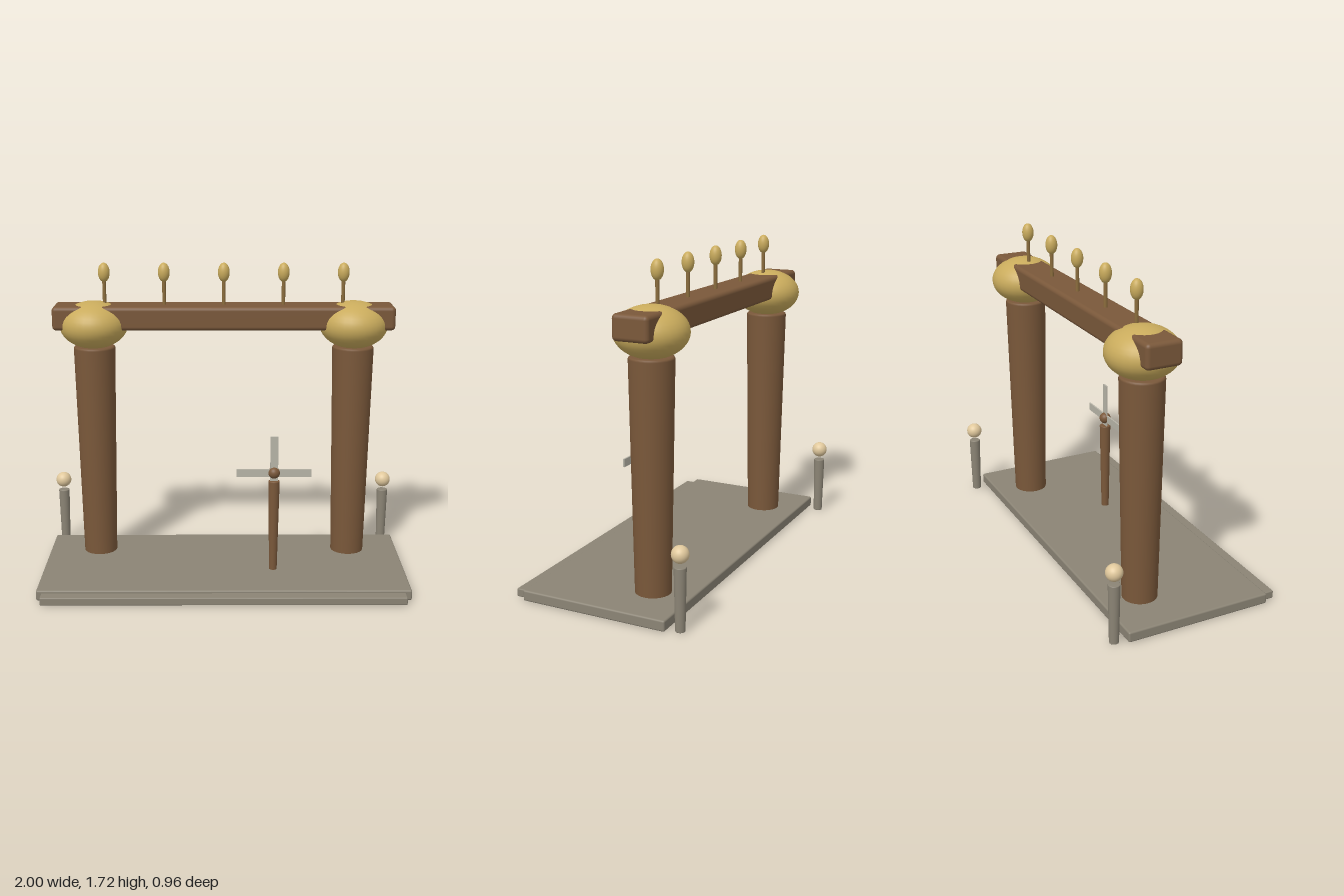
import * as THREE from 'three';
import { RoundedBoxGeometry } from 'three/addons/geometries/RoundedBoxGeometry.js';

const mat = (color) => new THREE.MeshStandardMaterial({ color });

export function createModel() {
  const model = new THREE.Group();
  const wood = mat(0x7a583a), stone = mat(0x8b8475), gold = mat(0xc9ab5c);
  const cream = mat(0xe0c89c), blade = mat(0xb8b5a8), bronze = mat(0x8a6c3c);

  const add = (name, geometry, material, x, y, z, parent = model) => {
    const mesh = new THREE.Mesh(geometry, material);
    mesh.name = name;
    mesh.position.set(x, y, z);
    parent.add(mesh);
    return mesh;
  };
  const box = (w, h, d, r) => new RoundedBoxGeometry(w, h, d, 3, r);
  const ball = (rx, ry) => new THREE.SphereGeometry(1, 32, 20).scale(rx, ry, rx);
  // Tapered round post standing on its origin, with softened rims
  const post = (rBottom, rTop, h, b) => new THREE.LatheGeometry([
    [0, 0], [rBottom - b, 0], [rBottom - b * 0.3, b * 0.3], [rBottom, b],
    [rTop, h - b], [rTop - b * 0.3, h - b * 0.3], [rTop - b, h], [0, h],
  ].map(([x, y]) => new THREE.Vector2(x, y)), 32);

  // Ground slab and front step
  add('platform', box(2, 0.057, 0.8, 0.009), stone, 0, 0.0365, 0.02);
  add('frontStep', box(1.94, 0.043, 0.12, 0.006), stone, -0.002, 0.0295, 0.42);

  // Pillars with bulbous capitals, carrying the crossbeam
  for (const side of [-1, 1]) {
    add('pillar', post(0.092, 0.114, 1.26, 0.012), wood, side * 0.713, 0.007, -0.17);
    add('capital', ball(0.187, 0.13), gold, side * 0.713, 1.385, -0.17);
  }
  add('crossbeam', box(1.86, 0.13, 0.194, 0.022), wood, 0, 1.431, -0.17);

  // Row of finials on the beam
  for (let i = -2; i <= 2; i++) {
    const finial = new THREE.Group();
    finial.name = 'finial';
    finial.position.set(i * 0.325, 1.49, -0.17);
    add('finialStem', new THREE.CylinderGeometry(0.01, 0.01, 0.15, 16), bronze, 0, 0.07, 0, finial);
    add('finialBulb', ball(0.032, 0.052), gold, 0, 0.181, 0, finial);
    model.add(finial);
  }

  // Pinwheel on a slim post
  const pinwheel = new THREE.Group();
  pinwheel.name = 'pinwheel';
  pinwheel.position.set(0.272, 0, 0.126);
  add('pinwheelPost', post(0.021, 0.031, 0.54, 0.004), wood, 0, 0.04, 0, pinwheel);
  add('pinwheelHub', ball(0.032, 0.032), wood, 0, 0.626, 0, pinwheel);
  for (let i = 0; i < 4; i++) {
    const arm = add('pinwheelBlade', new THREE.BoxGeometry(0.043, 0.203, 0.009).translate(0, 0.1015, 0),
      blade, 0, 0.626, 0.002, pinwheel);
    arm.rotation.z = i * Math.PI / 2;
  }
  model.add(pinwheel);

  // Bollards topped with globes behind the platform
  for (const x of [-0.955, 0.949]) {
    add('bollard', post(0.025, 0.031, 0.327, 0.004), stone, x, 0.006, -0.44);
    add('bollardGlobe', ball(0.044, 0.044), cream, x, 0.395, -0.44);
  }
  return model;
}
